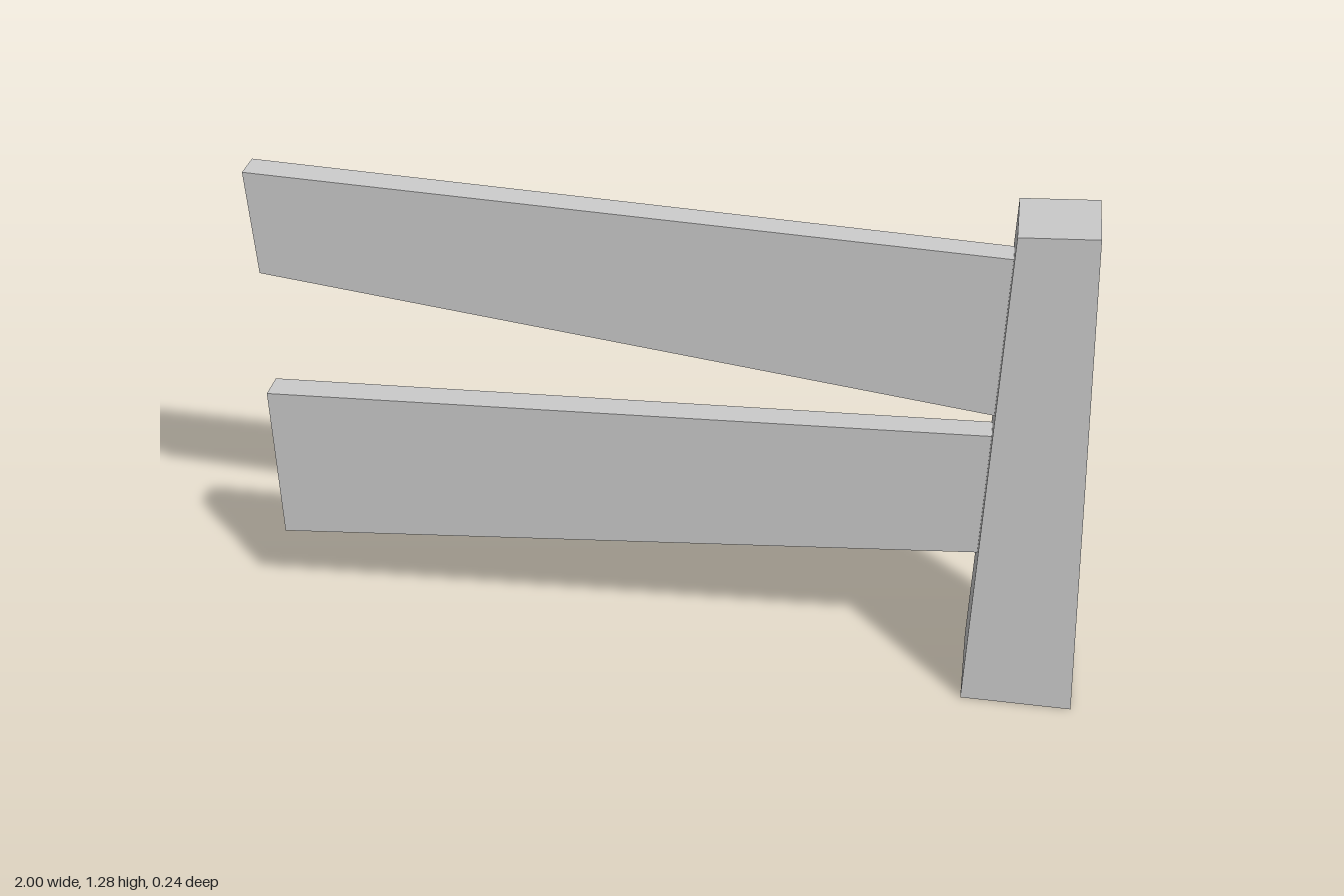
import * as THREE from 'three';

const material = new THREE.MeshStandardMaterial({ color: 0xcccccc, flatShading: true });

// Box whose front outline is [left bottom, right bottom, right top, left top];
// depth(u, v) gives the half thickness at each corner (u: left to right, v: bottom to top).
function taperedBox(name, [lb, rb, rt, lt], depth) {
  const geometry = new THREE.BoxGeometry(1, 1, 1);
  const p = geometry.attributes.position;
  for (let i = 0; i < p.count; i++) {
    const u = p.getX(i) + 0.5, v = p.getY(i) + 0.5;
    const [x, y] = v > 0.5 ? (u > 0.5 ? rt : lt) : (u > 0.5 ? rb : lb);
    p.setXYZ(i, x, y, Math.sign(p.getZ(i)) * depth(u, v));
  }
  geometry.computeVertexNormals();
  const mesh = new THREE.Mesh(geometry, material);
  mesh.name = name;
  return mesh;
}

export function createModel() {
  const group = new THREE.Group();
  group.name = 'fence';

  // Post narrowing towards a slightly slanted top
  group.add(taperedBox('post',
    [[0.732, 0], [1, 0], [0.925, 1.285], [0.75, 1.275]],
    (u, v) => THREE.MathUtils.lerp(0.122, 0.09, v)));

  // Uneven rails, set just into the post
  const railDepth = (u) => THREE.MathUtils.lerp(0.034, 0.03, u);
  group.add(taperedBox('upperRail',
    [[-0.977, 0.992], [0.76, 0.776], [0.76, 1.187], [-0.987, 1.254]], railDepth));
  group.add(taperedBox('lowerRail',
    [[-1, 0.233], [0.76, 0.384], [0.76, 0.721], [-1, 0.652]], railDepth));

  return group;
}
